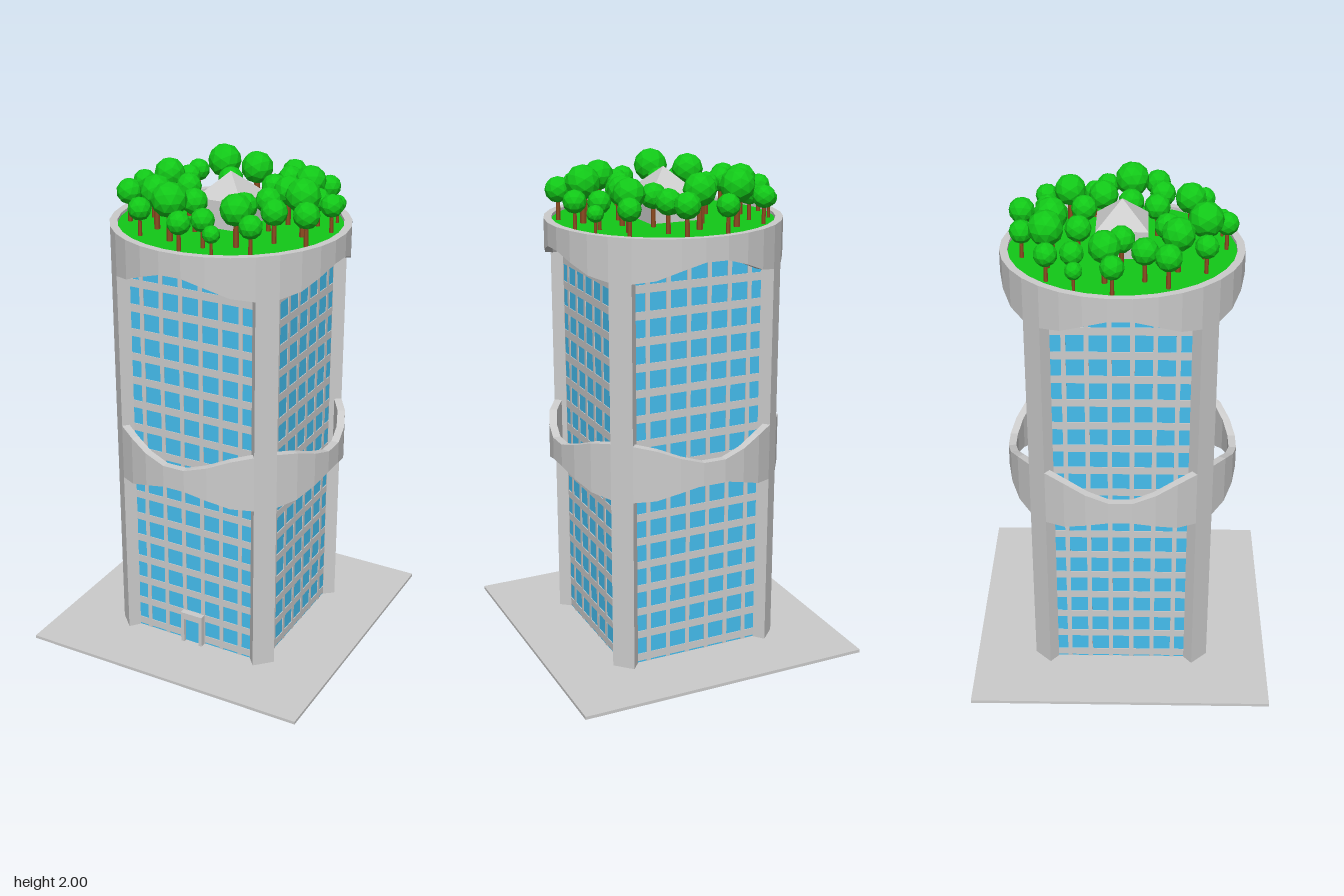
import * as THREE from 'three';

const mat = (color) => new THREE.MeshStandardMaterial({ color, flatShading: true });
const STEP = Math.PI / 16; // 32-sided round plan
const R_OUT = 0.473, R_IN = 0.442, R_PILLAR = 0.42, CORE = 0.325;
const GROUND = 0.013, ROOF = 1.77;

// Curved wall segment: solid between two radii, with bottom and top heights varying along it
function arcWall(start, segments, r0, r1, bottom, top) {
  const pos = [];
  const p = (r, i, h) => [r * Math.sin(start + i * STEP), h(i / segments), r * Math.cos(start + i * STEP)];
  const quad = (a, b, c, d) => pos.push(...a, ...b, ...c, ...a, ...c, ...d);
  for (let i = 0; i < segments; i++) {
    const j = i + 1;
    quad(p(r1, i, bottom), p(r1, j, bottom), p(r1, j, top), p(r1, i, top));
    quad(p(r0, j, bottom), p(r0, i, bottom), p(r0, i, top), p(r0, j, top));
    quad(p(r1, i, top), p(r1, j, top), p(r0, j, top), p(r0, i, top));
    quad(p(r0, i, bottom), p(r0, j, bottom), p(r1, j, bottom), p(r1, i, bottom));
  }
  const n = segments;
  quad(p(r0, 0, bottom), p(r1, 0, bottom), p(r1, 0, top), p(r0, 0, top));
  quad(p(r1, n, bottom), p(r0, n, bottom), p(r0, n, top), p(r1, n, top));
  const g = new THREE.BufferGeometry();
  g.setAttribute('position', new THREE.Float32BufferAttribute(pos, 3));
  g.computeVertexNormals();
  return g;
}

// Trees: x, z and crown radius in hundredths
const TREES = [
  -9, -38, 4.6, 8.5, -39, 5.2, -18, -28, 6.9, -2.6, -27, 6.6, -30, -27.5, 4.6, 11.5, -29, 5.2,
  28, -30.5, 4.6, 24, -21, 6.3, -28.7, -18, 4.6, -38, -17, 3.4, -9, -16.5, 5.2, 11.2, -15, 5.2,
  36.8, -19, 3.4, 32, -11.4, 4.6, 40, -6.4, 4.6, 21, -7.7, 5.9, -41, -3, 4.6, -31, -6, 6.2,
  -18.8, 0, 5.2, 18, 3.2, 5.2, 32.6, 3.5, 6.9, 39, 13.8, 5.2, 26.7, 15.7, 5.2, 13, 13.4, 5.2,
  -29.7, 8.7, 5.2, -35.3, 17.3, 5.2, -20.8, 21, 6.5, -6.3, 17.3, 5.2, -22, 31.5, 4.6, -8.9, 31.5, 6.9,
  6, 32.8, 4.6, 16.5, 26.5, 6.2, 25.4, 32, 4.6, 0, 40, 4.6, 12.9, 38.8, 3.4,
];

export function createModel() {
  const model = new THREE.Group();
  const grey = mat(0xcccccc), glass = mat(0x45bdee), green = mat(0x12c818), brown = mat(0x8b4a20);

  const add = (name, geometry, material, x = 0, y = 0, z = 0, parent = model) => {
    const m = new THREE.Mesh(geometry, material);
    m.name = name;
    m.position.set(x, y, z);
    parent.add(m);
    return m;
  };
  const box = (name, w, h, d, material, x, y, z, parent) =>
    add(name, new THREE.BoxGeometry(w, h, d), material, x, y, z, parent);

  // Ground plate and glazed core
  box('groundPlate', 1.23, GROUND, 1.23, grey, 0, GROUND / 2, 0);
  const coreH = 1.75 - GROUND, coreY = GROUND + coreH / 2;
  box('glassCore', 2 * CORE - 0.006, coreH, 2 * CORE - 0.006, glass, 0, coreY, 0);

  // Floor bands wrap the whole core
  for (let k = 0; k < 17; k++) {
    box('floorBand', 2 * CORE, 0.032, 2 * CORE, grey, 0, 0.037 + k * 0.1027, 0);
  }

  // Four identical sides: mullions, corner pillar, wavy bands
  const wave = (mid, amp) => (t) => mid + amp * Math.cos(2 * Math.PI * (t - 0.5));
  const level = (y) => () => y;
  const RIM = 1.755;
  for (let s = 0; s < 4; s++) {
    const side = new THREE.Group();
    side.name = 'towerSide';
    side.rotation.y = s * Math.PI / 2;
    model.add(side);
    for (let i = -3; i < 3; i++) {
      box('mullion', 0.018, coreH, 0.01, grey, (i + 0.5) * 0.0868, coreY, CORE - 0.005, side);
    }
    add('cornerPillar', arcWall(3.5 * STEP, 1, R_PILLAR, R_OUT, level(GROUND), level(RIM)), grey, 0, 0, 0, side);
    add('middleBand', arcWall(-3.5 * STEP, 7, R_IN, R_OUT, wave(0.777, 0.037), wave(0.936, -0.037)), grey, 0, 0, 0, side);
    add('topBand', arcWall(-3.5 * STEP, 7, R_IN, R_OUT, wave(1.652, 0.042), level(RIM)), grey, 0, 0, 0, side);
  }

  // Roof rim, slab and lawn
  add('roofRim', arcWall(STEP / 2, 32, R_IN, R_OUT, level(RIM), level(1.782)), grey);
  const disc = (h) => new THREE.CylinderGeometry(R_IN, R_IN, h, 32, 1, false, STEP / 2);
  add('roofSlab', disc(0.02), grey, 0, 1.75, 0);
  add('roofLawn', disc(0.01), green, 0, ROOF - 0.005, 0);

  // Entrance
  const door = new THREE.Group();
  door.name = 'entrance';
  model.add(door);
  for (const sx of [-1, 1]) box('doorJamb', 0.015, 0.142, 0.03, grey, sx * 0.0425, 0.084, CORE + 0.01, door);
  box('doorLintel', 0.07, 0.03, 0.03, grey, 0, 0.14, CORE + 0.01, door);
  box('doorGlass', 0.07, 0.112, 0.02, glass, 0, 0.069, CORE, door);

  // Roof pavilion
  box('pavilionWalls', 0.2, 0.11, 0.2, grey, 0, ROOF + 0.055, 0);
  const pyramid = new THREE.ConeGeometry(0.1 * Math.SQRT2, 0.095, 4);
  pyramid.rotateY(Math.PI / 4);
  add('pavilionRoof', pyramid, grey, 0, ROOF + 0.1575, 0);

  // Roof garden
  for (let i = 0; i < TREES.length; i += 3) {
    const [x, z, r] = TREES.slice(i, i + 3).map((v) => v / 100);
    const tree = new THREE.Group();
    tree.name = 'tree';
    tree.position.set(x, ROOF, z);
    model.add(tree);
    add('trunk', new THREE.CylinderGeometry(r * 0.15, r * 0.18, r * 2, 6), brown, 0, r, 0, tree);
    add('crown', new THREE.IcosahedronGeometry(r, 1), green, 0, r * 2.3, 0, tree).rotation.y = i;
  }
  return model;
}
